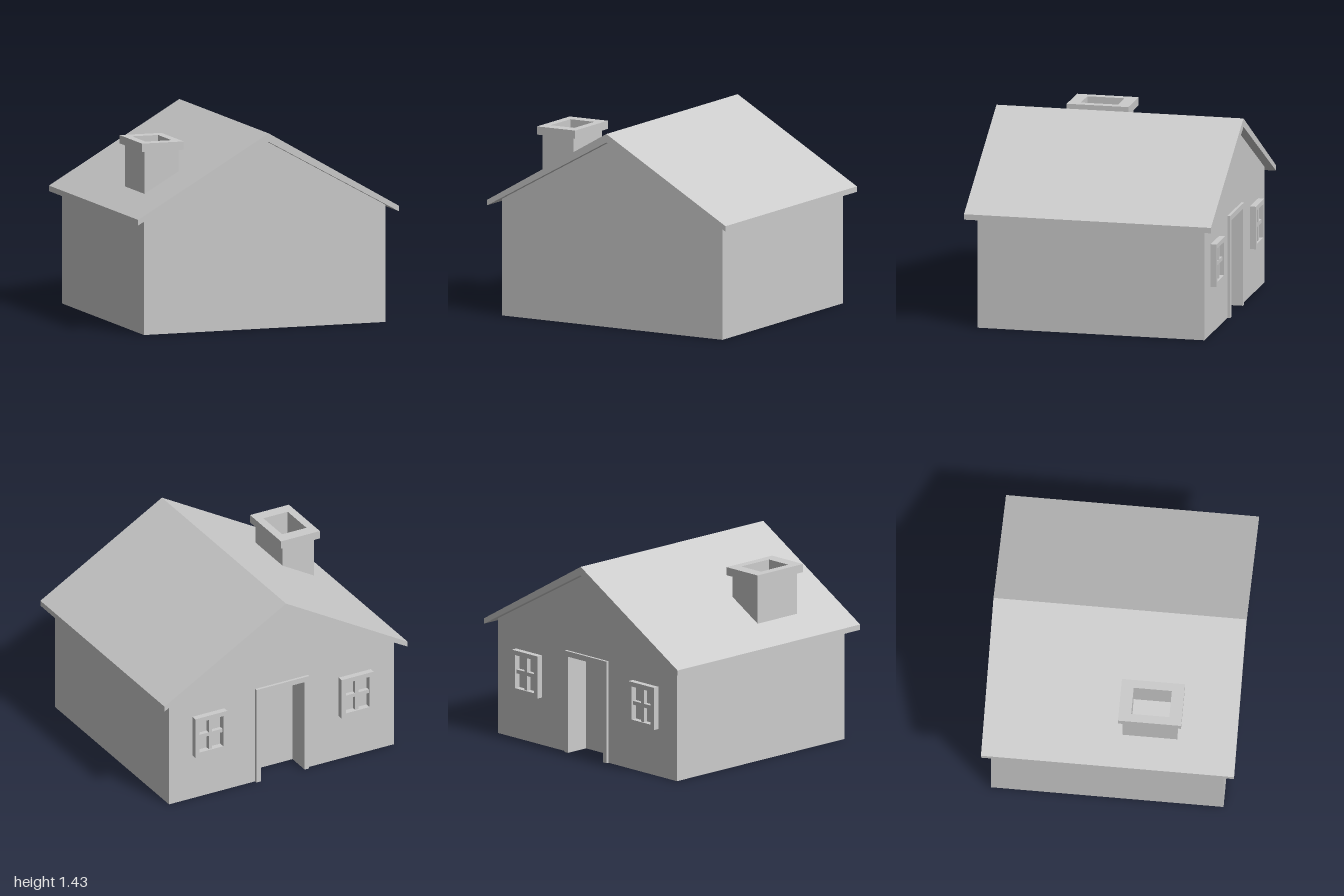
import * as THREE from 'three';

const material = new THREE.MeshStandardMaterial({ color: 0xcccccc, flatShading: true });

const points = (list) => list.map(([x, y]) => new THREE.Vector2(x, y));
const rect = (x0, y0, x1, y1) => [[x0, y0], [x1, y0], [x1, y1], [x0, y1]];

// Prism of an outline (with optional holes) between two z positions
function prism(name, outline, z0, z1, holes = []) {
  const shape = new THREE.Shape(points(outline));
  holes.forEach((h) => shape.holes.push(new THREE.Path(points(h))));
  const geometry = new THREE.ExtrudeGeometry(shape, { depth: z1 - z0, bevelEnabled: false });
  geometry.translate(0, 0, z0);
  const mesh = new THREE.Mesh(geometry, material);
  mesh.name = name;
  return mesh;
}

// Rectangular tube standing upright, open along y
function uprightRing(name, width, depth, holeWidth, holeDepth, y0, y1) {
  const outer = rect(-width / 2, -depth / 2, width / 2, depth / 2);
  const hole = rect(-holeWidth / 2, -holeDepth / 2, holeWidth / 2, holeDepth / 2);
  const mesh = prism(name, outer, y0, y1, [hole]);
  mesh.geometry.rotateX(-Math.PI / 2);
  return mesh;
}

// Four-pane window, centred on its own x and y, back against z = 0 and facing -z
function makeWindow(name) {
  const group = new THREE.Group();
  group.name = name;
  const w = 0.132, h = 0.157, border = 0.034, bar = 0.014;
  const iw = w - border, ih = h - border;
  group.add(
    prism('windowFrame', rect(-w, -h, w, h), -0.045, 0, [rect(-iw, -ih, iw, ih)]),
    prism('verticalBar', rect(-bar, -ih, bar, ih), -0.032, 0),
    prism('horizontalBar', rect(-iw, -bar, iw, bar), -0.032, 0)
  );
  return group;
}

export function createModel() {
  const house = new THREE.Group();
  house.name = 'house';

  const wallX = 0.925, eaveY = 0.852, gableY = 1.365;
  const backZ = -0.845, recessZ = -0.685, frontZ = 0.83;
  const doorX = 0.18, doorY = 0.715;
  const gable = [[wallX, 0], [wallX, eaveY], [0, gableY], [-wallX, eaveY], [-wallX, 0]];
  const doorway = [[-doorX, 0], [-doorX, doorY], [doorX, doorY], [doorX, 0]];

  // Walls: solid body, plus a back slab cut by the recessed doorway
  house.add(prism('houseBody', gable, recessZ, frontZ));
  house.add(prism('backWall', [...gable, ...doorway], backZ, recessZ));

  // Roof: two slopes overhanging every wall
  const roof = [[-1, 0.81], [0, gableY], [1, 0.81], [1, 0.85], [0, 1.427], [-1, 0.85]];
  house.add(prism('roof', roof, -0.912, 0.912));

  // Door surround
  const fx = doorX + 0.037, fy = doorY + 0.04;
  const surround = [[fx, 0], [fx, fy], [-fx, fy], [-fx, 0], ...doorway];
  house.add(prism('doorFrame', surround, backZ - 0.02, backZ));

  // Windows on both sides of the door
  for (const side of [1, -1]) {
    const pane = makeWindow(side > 0 ? 'leftWindow' : 'rightWindow');
    pane.position.set(side * 0.602, 0.508, backZ);
    house.add(pane);
  }

  // Hollow chimney with a wider cap
  const chimney = new THREE.Group();
  chimney.name = 'chimney';
  chimney.add(
    uprightRing('chimneyStack', 0.26, 0.395, 0.2, 0.275, 0.92, 1.28),
    uprightRing('chimneyCap', 0.32, 0.455, 0.2, 0.275, 1.28, 1.34)
  );
  chimney.position.set(-0.662, 0, 0.287);
  house.add(chimney);

  return house;
}
